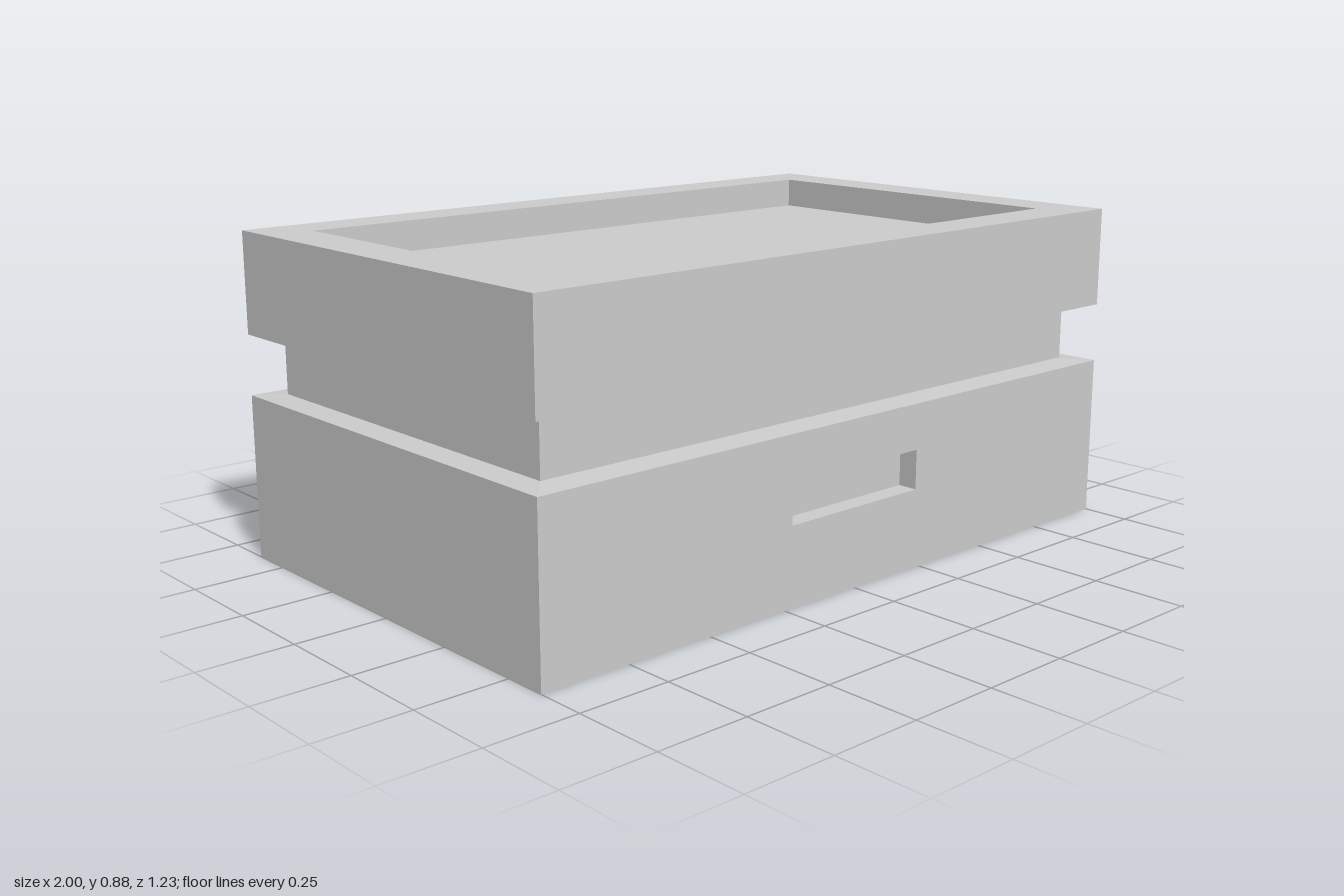
import * as THREE from 'three';

const W = 1, D = 0.617;               // half width and half depth of the case
const NECK_W = 0.935, NECK_D = 0.543; // half size of the recessed waist
const BASE_TOP = 0.446, NECK_BOTTOM = 0.452, NECK_TOP = 0.603, LID_BOTTOM = 0.609, TOP = 0.882;

const material = new THREE.MeshStandardMaterial({ color: 0xcccccc, flatShading: true });

function addMesh(group, name, geometry) {
  const mesh = new THREE.Mesh(geometry, material);
  mesh.name = name;
  group.add(mesh);
  return mesh;
}

function box(x, y0, y1, z) {
  return new THREE.BoxGeometry(2 * x, y1 - y0, 2 * z).translate(0, (y0 + y1) / 2, 0);
}

// Box whose bottom and top rectangles differ in size
function taperedBox(bottom, top, y0, y1) {
  const geometry = new THREE.BoxGeometry(2, 1, 2);
  const p = geometry.attributes.position;
  for (let i = 0; i < p.count; i++) {
    const up = p.getY(i) > 0;
    const [x, z] = up ? top : bottom;
    p.setXYZ(i, p.getX(i) * x, up ? y1 : y0, p.getZ(i) * z);
  }
  geometry.computeVertexNormals();
  return geometry;
}

function rectPoints(x0, y0, x1, y1) {
  return [[x0, y0], [x1, y0], [x1, y1], [x0, y1]].map(([x, y]) => new THREE.Vector2(x, y));
}

// Rectangle with a rectangular opening, extruded along z
function frame(outer, inner, depth) {
  const shape = new THREE.Shape(rectPoints(...outer));
  shape.holes.push(new THREE.Path(rectPoints(...inner).reverse()));
  return new THREE.ExtrudeGeometry(shape, { depth, bevelEnabled: false });
}

export function createModel() {
  const model = new THREE.Group();
  model.name = 'box';

  // Base with a finger slot in front and back; the core closes the slots
  const base = new THREE.Group();
  base.name = 'base';
  model.add(base);
  const slotX = 0.228, slotY0 = 0.215, slotY1 = 0.322, slotDepth = 0.055;
  addMesh(base, 'baseBody',
    frame([-W, 0, W, BASE_TOP], [-slotX, slotY0, slotX, slotY1], 2 * D).translate(0, 0, -D));
  addMesh(base, 'slotCore', box(slotX, slotY0, slotY1, D - slotDepth));
  addMesh(base, 'baseShoulder', taperedBox([W, D], [NECK_W, NECK_D], BASE_TOP, NECK_BOTTOM));

  // Narrow waist between base and lid
  addMesh(model, 'neck', box(NECK_W, NECK_BOTTOM, NECK_TOP, NECK_D));

  // Lid: a rim around a sunken panel, with a slightly sloped underside
  const lid = new THREE.Group();
  lid.name = 'lid';
  model.add(lid);
  const panelX = 0.868, panelZ = 0.488, panelTop = TOP - 0.083;
  addMesh(lid, 'lidRim',
    frame([-W, -D, W, D], [-panelX, -panelZ, panelX, panelZ], TOP - LID_BOTTOM)
      .rotateX(-Math.PI / 2).translate(0, LID_BOTTOM, 0));
  addMesh(lid, 'lidPanel', box(panelX, LID_BOTTOM, panelTop, panelZ));
  addMesh(lid, 'lidUnderside', taperedBox([NECK_W, NECK_D], [W, D], NECK_TOP, LID_BOTTOM));

  return model;
}
